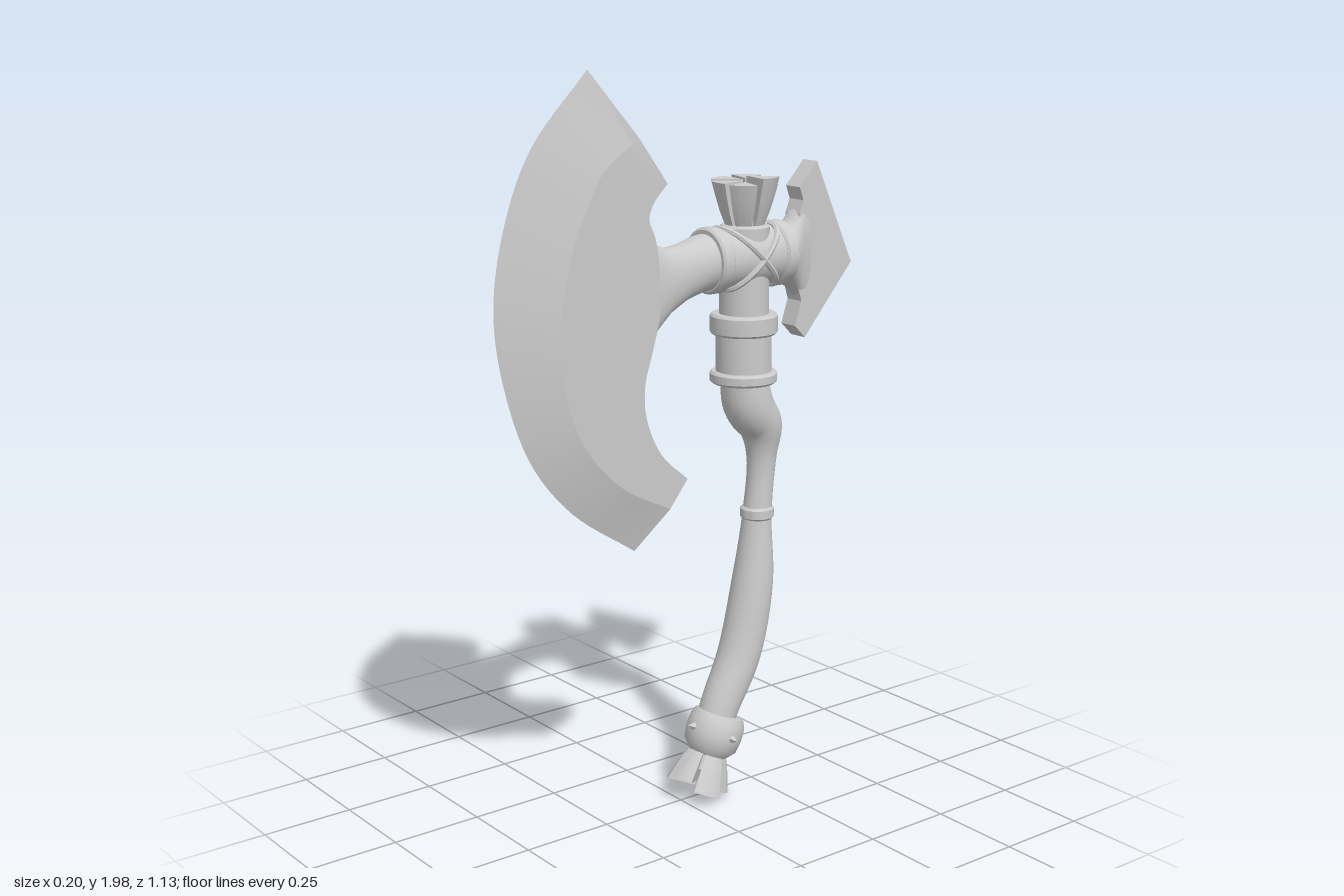
import * as THREE from 'three';
import { toCreasedNormals } from 'three/addons/utils/BufferGeometryUtils.js';

const TAU = Math.PI * 2;
const mat = new THREE.MeshStandardMaterial({ color: 0xcccccc });

function add(parent, name, geo, crease = 0.6) {
  const m = new THREE.Mesh(toCreasedNormals(geo, crease), mat);
  m.name = name;
  parent.add(m);
  return m;
}

// Skin over a list of equal-length rings, closed at both ends, wound outwards
function loft(rings) {
  const n = rings[0].length, pos = [], idx = [];
  rings.forEach(r => r.forEach(p => pos.push(p.x, p.y, p.z)));
  for (let i = 0; i < rings.length - 1; i++)
    for (let j = 0; j < n; j++) {
      const a = i * n + j, b = i * n + (j + 1) % n;
      idx.push(a, b, a + n, b, b + n, a + n);
    }
  for (const end of [0, rings.length - 1]) {
    const c = new THREE.Vector3();
    rings[end].forEach(p => c.addScaledVector(p, 1 / n));
    const ci = pos.push(c.x, c.y, c.z) / 3 - 1;
    for (let j = 0; j < n; j++) {
      const a = end * n + j, b = end * n + (j + 1) % n;
      if (end) idx.push(a, b, ci); else idx.push(b, a, ci);
    }
  }
  const P = i => new THREE.Vector3().fromArray(pos, i * 3);
  let volume = 0;
  for (let i = 0; i < idx.length; i += 3) volume += P(idx[i]).dot(P(idx[i + 1]).cross(P(idx[i + 2])));
  if (volume < 0) idx.reverse();
  const g = new THREE.BufferGeometry();
  g.setAttribute('position', new THREE.Float32BufferAttribute(pos, 3));
  g.setIndex(idx);
  return g;
}

// Spline through [z, y, radius] triples
const spline = pts => new THREE.CatmullRomCurve3(pts.map(p => new THREE.Vector3(p[0], p[1], p[2] || 0)));

// Round shaft along a [z, y, radius] path
function shaft(pts, steps = 48, sides = 20) {
  const curve = spline(pts), rings = [];
  for (let i = 0; i <= steps; i++) {
    const p = curve.getPoint(i / steps), t = curve.getTangent(i / steps);
    const l = Math.hypot(t.x, t.y), nz = -t.y / l, ny = t.x / l;
    rings.push(Array.from({ length: sides }, (_, j) => {
      const a = j / sides * TAU, c = Math.cos(a) * p.z;
      return new THREE.Vector3(Math.sin(a) * p.z, p.y + ny * c, p.x + nz * c);
    }));
  }
  return loft(rings);
}

// Flaring neck along z: rows of [z, yMin, yMax, halfWidth], round at first and flat at last
function neck(rows, sides = 28) {
  return loft(rows.map(([z, y0, y1, w], i) => {
    const e = 1 - 0.55 * i / (rows.length - 1);
    return Array.from({ length: sides }, (_, j) => {
      const a = j / sides * TAU, s = Math.sin(a), c = Math.cos(a);
      return new THREE.Vector3(w * Math.sign(c) * Math.abs(c) ** e, (y0 + y1) / 2 + s * (y1 - y0) / 2, z);
    });
  }));
}

// Crescent blade: sharp outer arc, bevel line, thick inner edge
function bladeGeometry() {
  const outer = spline([[0.153, 0.762], [0.35, 0.9], [0.47, 1.05], [0.545, 1.26], [0.567, 1.44],
    [0.535, 1.63], [0.455, 1.815], [0.285, 2]]);
  const inner = spline([[0.01, 0.942], [0.095, 1.02], [0.143, 1.127], [0.146, 1.21], [0.12, 1.3],
    [0.1, 1.38], [0.1, 1.5], [0.112, 1.58], [0.132, 1.63], [0.116, 1.67], [0.074, 1.714]]);
  const rings = [], N = 44, w = 0.042;
  for (let i = 0; i <= N; i++) {
    const t = i / N, o = outer.getPointAt(t), n = inner.getPointAt(t);
    const b = o.clone().lerp(n, 0.36 + 0.24 * (2 * t - 1) ** 2);
    const V = (x, p) => new THREE.Vector3(x, p.y, p.x);
    rings.push([V(0, o), V(w, b), V(w, n), V(-w, n), V(-w, b)]);
  }
  return loft(rings);
}

// Ring or barrel about y with small chamfers
function collar(r, h, c = 0.006) {
  const pts = [[0, -h / 2], [r - c, -h / 2], [r, -h / 2 + c], [r, h / 2 - c], [r - c, h / 2], [0, h / 2]];
  return new THREE.LatheGeometry(pts.map(p => new THREE.Vector2(...p)), 28);
}

// Splayed, split end: wedges that widen upwards
function crown(name, n, r0, r1, h) {
  const g = new THREE.Group();
  g.name = name;
  for (let i = 0; i < n; i++) {
    const half = Math.PI / n - 0.07 - 0.03 * (i % 2);
    const s = new THREE.Shape();
    s.moveTo(0.06, 0);
    s.absarc(0, 0, 1, -half, half, false);
    s.lineTo(0.06, 0);
    const hi = h * (1 - 0.1 * ((i * 2) % 3) / 2);
    const geo = new THREE.ExtrudeGeometry(s, { depth: hi, steps: 3, bevelEnabled: false, curveSegments: 5 });
    const p = geo.attributes.position;
    for (let k = 0; k < p.count; k++) {
      const t = p.getZ(k) / h, r = r0 + (r1 - r0) * t ** 0.8;
      p.setXY(k, p.getX(k) * r, p.getY(k) * r);
      p.setZ(k, p.getZ(k) - 0.01 * t * (i % 2));
    }
    geo.rotateX(-Math.PI / 2).rotateY((i + 0.3) / n * TAU);
    add(g, 'splitWedge', geo, 0.5);
  }
  const core = add(g, 'crownCore', new THREE.CylinderGeometry(r0 * 0.95, r0 * 0.85, h * 0.5, 16));
  core.position.y = h * 0.25;
  return g;
}

export function createModel() {
  const model = new THREE.Group();
  model.name = 'battleAxe';
  const HZ = -0.21, HY = 1.5;

  // Curved grip and bent upper shaft
  add(model, 'handle', shaft([[-0.1, 0.16, 0.05], [-0.13, 0.25, 0.054], [-0.203, 0.4, 0.06], [-0.248, 0.6, 0.057],
    [-0.262, 0.79, 0.04], [-0.276, 0.95, 0.041], [-0.27, 1.035, 0.06], [-0.228, 1.1, 0.068], [-0.21, 1.18, 0.063]]));
  add(model, 'gripCollar', collar(0.046, 0.035)).position.set(0, 0.795, -0.262);

  // Socket with its rings
  for (const [name, r, h, y] of [['lowerRing', 0.09, 0.032, 1.18], ['socket', 0.074, 0.14, 1.25],
    ['upperRing', 0.09, 0.055, 1.323], ['headPost', 0.066, 0.27, 1.45]])
    add(model, name, collar(r, h)).position.set(0, y, HZ);

  // Cross barrel with end collars
  for (const [name, r, h, z] of [['crossBarrel', 0.08, 0.24, -0.205], ['frontCollar', 0.087, 0.04, -0.096],
    ['rearCollar', 0.087, 0.042, -0.312]]) {
    const m = add(model, name, collar(r, h));
    m.rotation.x = Math.PI / 2;
    m.position.set(0, HY, z);
  }

  // Crossed bindings around the joint
  for (const s of [-1, 1]) {
    const loop = new THREE.CatmullRomCurve3(Array.from({ length: 24 }, (_, i) => {
      const a = i / 24 * TAU, d = 0.112 * Math.sin(a);
      return new THREE.Vector3(0.084 * Math.sign(Math.cos(a)) * Math.abs(Math.cos(a)) ** 0.8,
        HY + d * 0.71, HZ + s * d * 0.71);
    }), true);
    add(model, 'binding', new THREE.TubeGeometry(loop, 48, 0.008, 6, true));
  }

  // Blade and its neck
  add(model, 'blade', bladeGeometry(), 0.2);
  add(model, 'bladeNeck', neck([[-0.09, 1.425, 1.572, 0.074], [-0.05, 1.42, 1.567, 0.068], [0, 1.405, 1.552, 0.057],
    [0.05, 1.375, 1.545, 0.047], [0.09, 1.335, 1.56, 0.043], [0.115, 1.305, 1.585, 0.0418], [0.16, 1.29, 1.6, 0.04]]), 0.7);

  // Rear pick plate and its neck
  const pick = new THREE.Shape([[-0.434, 1.735], [-0.375, 1.67], [-0.388, 1.635], [-0.375, 1.6], [-0.375, 1.4],
    [-0.386, 1.365], [-0.365, 1.3], [-0.4, 1.265], [-0.562, 1.455]].map(([z, y]) => new THREE.Vector2(-z, y)));
  const pickGeo = new THREE.ExtrudeGeometry(pick, { depth: 0.056, bevelEnabled: false });
  pickGeo.translate(0, 0, -0.028).rotateY(Math.PI / 2);
  add(model, 'rearPick', pickGeo, 0.3);
  add(model, 'rearNeck', neck([[-0.32, 1.42, 1.572, 0.074], [-0.345, 1.41, 1.572, 0.064], [-0.365, 1.4, 1.588, 0.052],
    [-0.385, 1.375, 1.62, 0.04], [-0.42, 1.36, 1.635, 0.0275]]), 0.7);

  // Splayed top end
  const top = crown('topCrown', 6, 0.05, 0.09, 0.13);
  top.position.set(0, 1.58, HZ);
  model.add(top);

  // Pommel: studded ring and splayed foot, tilted along the grip
  const pommel = new THREE.Group();
  pommel.name = 'pommel';
  pommel.position.set(0, 0.187, -0.115);
  pommel.rotation.x = -0.4;
  model.add(pommel);
  add(pommel, 'pommelRing', new THREE.LatheGeometry([[0, -0.06], [0.052, -0.06], [0.074, -0.035], [0.079, 0],
    [0.077, 0.035], [0.068, 0.055], [0.05, 0.058], [0, 0.058]].map(p => new THREE.Vector2(...p)), 24), 0.7);
  for (let i = 0; i < 4; i++) {
    const a = i / 4 * TAU;
    const stud = add(pommel, 'stud', new THREE.ConeGeometry(0.016, 0.03, 4), 0.1);
    stud.position.set(Math.cos(a) * 0.085, 0.005, Math.sin(a) * 0.085);
    stud.quaternion.setFromUnitVectors(new THREE.Vector3(0, 1, 0), new THREE.Vector3(Math.cos(a), 0, Math.sin(a)));
  }
  const foot = crown('footCrown', 6, 0.048, 0.088, 0.115);
  foot.rotation.x = Math.PI;
  foot.position.y = -0.045;
  pommel.add(foot);

  return model;
}
